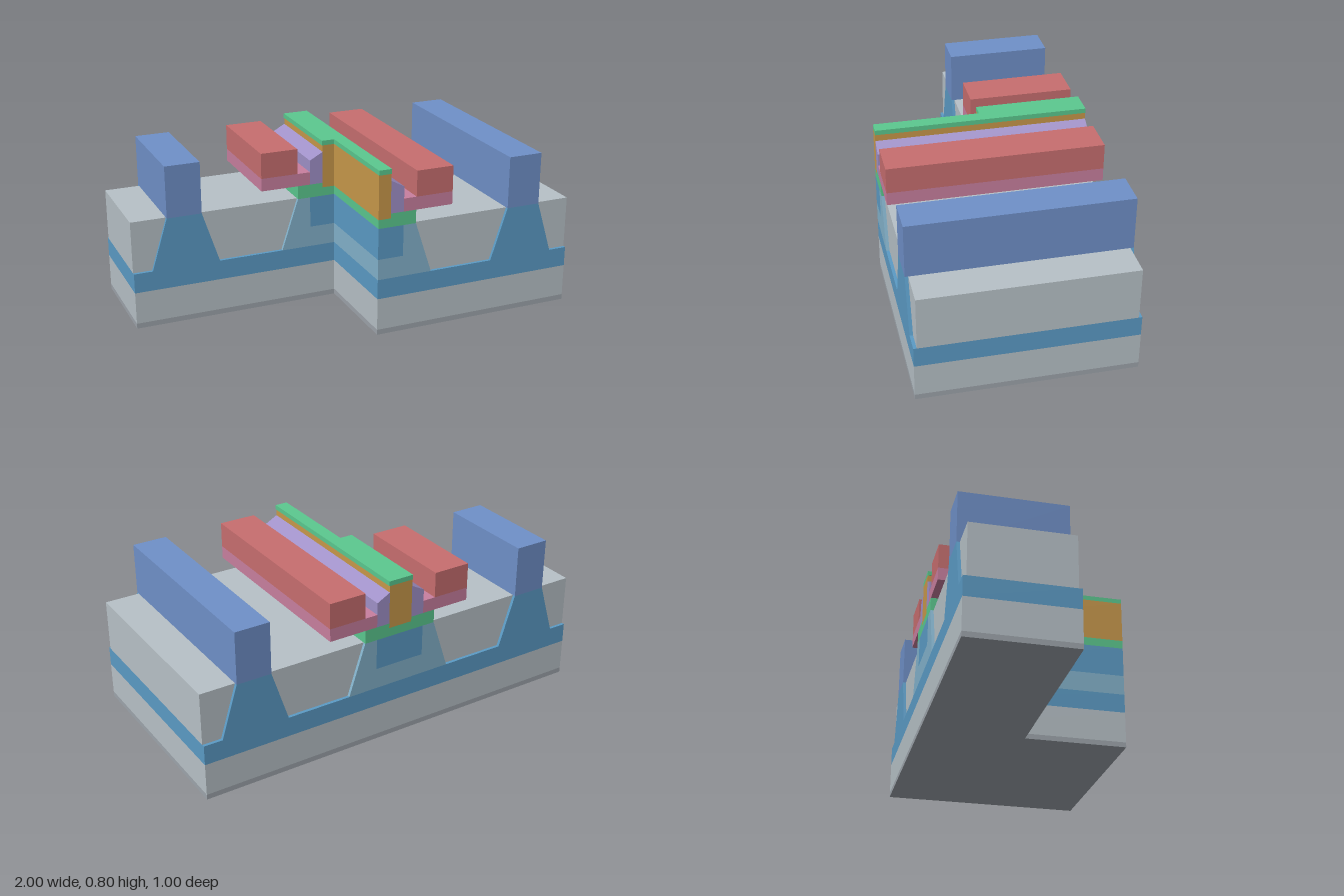
import * as THREE from 'three';

const mat = (name, color) => {
  const m = new THREE.MeshStandardMaterial({ color });
  m.name = name;
  return m;
};

export function createModel() {
  const M = {
    base: mat('dark grey', 0x9da4ab),
    grey: mat('light grey', 0xb7c1c7),
    blue: mat('blue', 0x5b9bc5),
    pillar: mat('violet blue', 0x6f90c8),
    pale: mat('pale blue', 0x83b2cb),
    green: mat('green', 0x5bc88f),
    orange: mat('orange', 0xc8984a),
    purple: mat('purple', 0xa091c8),
    pink: mat('pink', 0xc87f9f),
    red: mat('red', 0xc76e6f),
  };
  const rect = (x0, x1, y0, y1) => [[x0, y0], [x1, y0], [x1, y1], [x0, y1]];

  // Half cross-sections for x >= 0: name, material, outline, inset at both z ends
  const parts = [
    ['bottomLayer', M.base, rect(0, 1, 0, 0.025)],
    ['substrate', M.grey, rect(0, 1, 0.025, 0.18)],
    // lower well with its tapered fin
    ['wellLayer', M.blue, [[0, 0.18], [1, 0.18], [1, 0.275], [0.91, 0.275], [0.832, 0.525],
      [0.665, 0.525], [0.585, 0.275], [0, 0.275]]],
    ['contactPillar', M.pillar, rect(0.665, 0.832, 0.525, 0.775)],
    // central mesa wrapped around the buried block
    ['mesa', M.pale, [[0, 0.275], [0.27, 0.275], [0.187, 0.525], [0.125, 0.525], [0.125, 0.375], [0, 0.375]]],
    ['buriedBlock', M.blue, rect(0, 0.125, 0.375, 0.525)],
    // trench fills, slightly recessed from the end faces
    ['innerTrenchFill', M.grey, [[0.27, 0.275], [0.585, 0.275], [0.665, 0.525], [0.187, 0.525]], 0.015],
    ['outerTrenchFill', M.grey, [[0.91, 0.275], [1, 0.275], [1, 0.525], [0.832, 0.525]], 0.015],
    // thin seat with a notch for the centre wall
    ['seat', M.green, [[0, 0.525], [0.187, 0.525], [0.187, 0.59], [0.06, 0.59], [0.06, 0.567], [0, 0.567]]],
    ['centreWall', M.orange, rect(0, 0.06, 0.567, 0.777)],
    ['wallCap', M.green, rect(0, 0.063, 0.777, 0.8)],
    ['spacer', M.purple, [[0.06, 0.59], [0.125, 0.59], [0.125, 0.71], [0.06, 0.745]]],
    ['wing', M.pink, rect(0.125, 0.37, 0.59, 0.652)],
    ['wingBlock', M.red, rect(0.188, 0.37, 0.652, 0.775)],
  ];

  // The +x half runs the full depth; the -x half is cut away in front of z = 0
  const group = new THREE.Group();
  for (const [side, sx, zEnd] of [['left', 1, 0.5], ['right', -1, 0]]) {
    const half = new THREE.Group();
    half.name = side + 'Half';
    for (const [name, material, points, inset = 0] of parts) {
      const shape = new THREE.Shape(points.map(([x, y]) => new THREE.Vector2(sx * x, y)));
      const geo = new THREE.ExtrudeGeometry(shape, { depth: zEnd + 0.5 - 2 * inset, bevelEnabled: false });
      geo.translate(0, 0, -0.5 + inset);
      const mesh = new THREE.Mesh(geo, material);
      mesh.name = name;
      half.add(mesh);
    }
    group.add(half);
  }
  return group;
}
